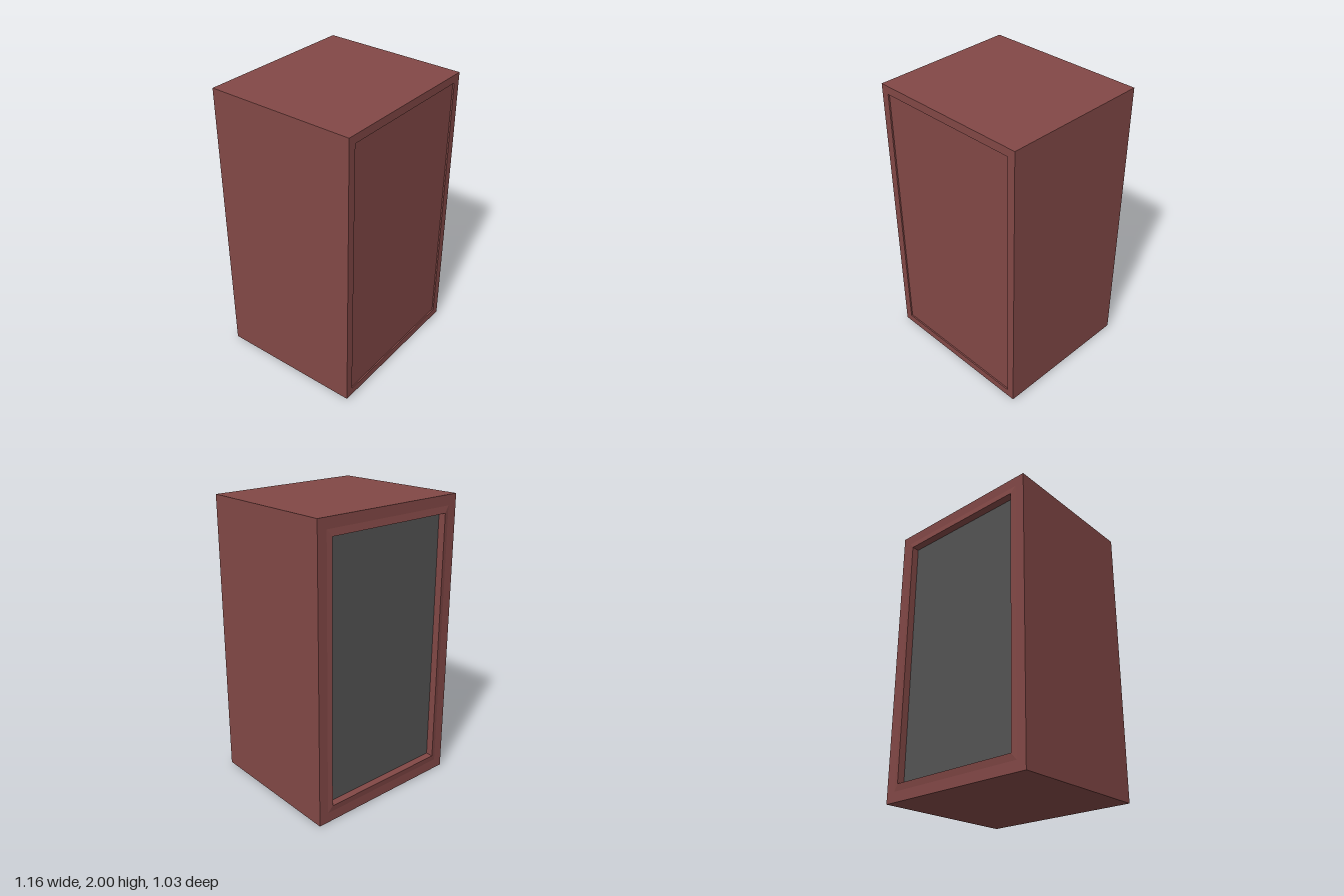
import * as THREE from 'three';

const red = new THREE.MeshStandardMaterial({ color: 0x824846, flatShading: true });
const grey = new THREE.MeshStandardMaterial({ color: 0x535353, flatShading: true });

// Skin joining rectangular rings [half width, half height, z], listed from front to back
function ringSkin(rings) {
  const corners = rings.map(([w, h, z]) =>
    [[-w, -h, z], [w, -h, z], [w, h, z], [-w, h, z]]);
  const pos = [];
  for (let i = 0; i < rings.length - 1; i++) {
    for (let j = 0; j < 4; j++) {
      const k = (j + 1) % 4;
      const a = corners[i][j], b = corners[i][k];
      const c = corners[i + 1][k], d = corners[i + 1][j];
      pos.push(...a, ...d, ...c, ...a, ...c, ...b);
    }
  }
  const geo = new THREE.BufferGeometry();
  geo.setAttribute('position', new THREE.Float32BufferAttribute(pos, 3));
  geo.computeVertexNormals();
  return geo;
}

function addPart(group, name, geo, material, z = 0) {
  const mesh = new THREE.Mesh(geo, material);
  mesh.name = name;
  mesh.position.set(0, 1, z);
  group.add(mesh);
  return mesh;
}

export function createModel() {
  const group = new THREE.Group();
  group.name = 'cabinet';

  // Shallow front recess, outer walls widening slightly toward the back
  addPart(group, 'cabinetBody', ringSkin([
    [0.515, 0.935, 0.506],
    [0.515, 0.935, 0.516],
    [0.57, 0.99, 0.516],
    [0.578, 1, -0.51],
    [0.51, 0.93, -0.51],
  ]), red);

  // Raised, bevelled frame with the inner walls of the opening
  addPart(group, 'backFrame', ringSkin([
    [0.51, 0.93, -0.51],
    [0.475, 0.885, -0.517],
    [0.475, 0.885, -0.465],
  ]), red);

  // Front panel set into the recess
  addPart(group, 'frontPanel', new THREE.PlaneGeometry(1.03, 1.87), red, 0.506);

  // Dark panel inside the back opening
  const back = addPart(group, 'backPanel', new THREE.PlaneGeometry(0.95, 1.77), grey, -0.465);
  back.rotation.y = Math.PI;

  return group;
}
